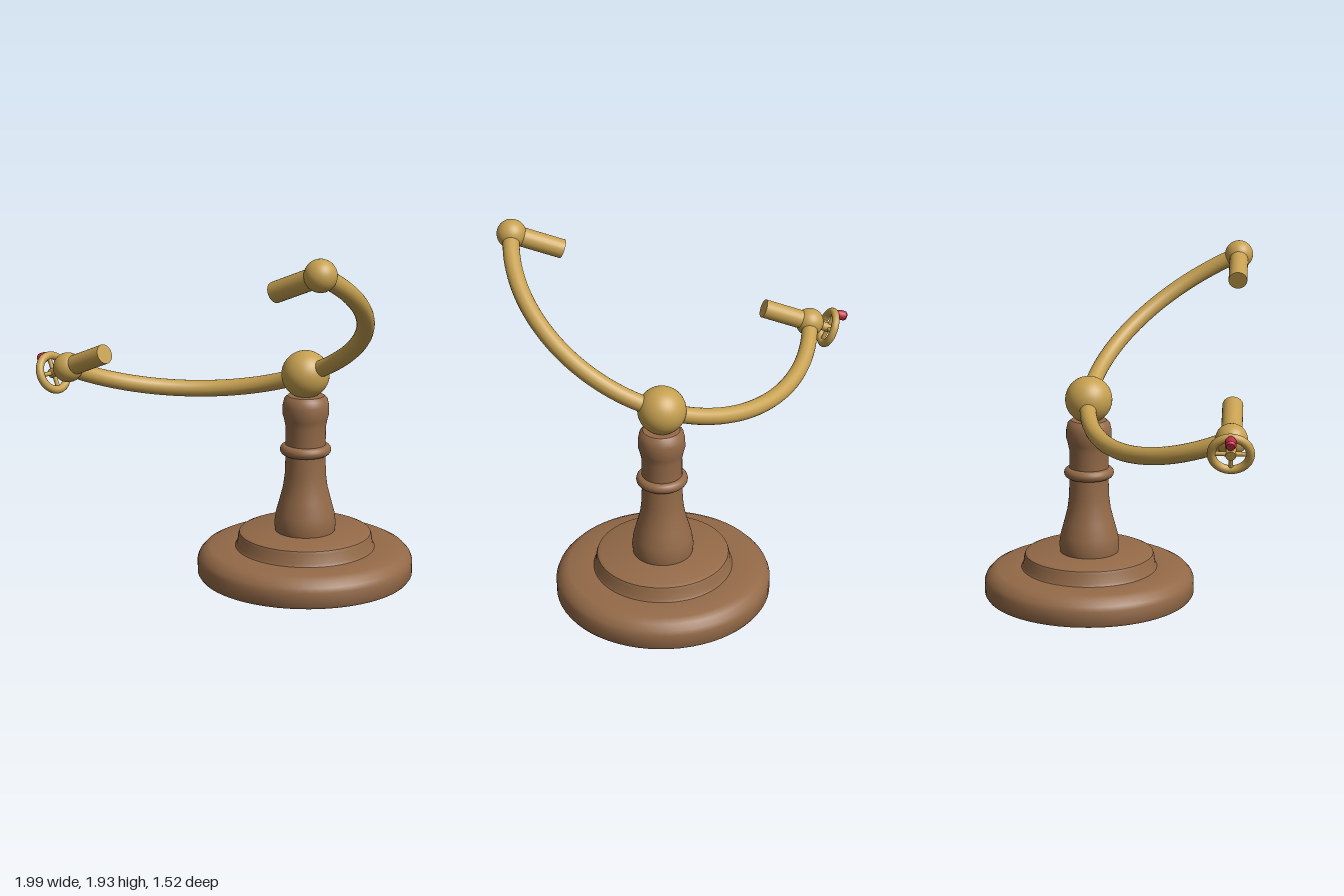
import * as THREE from 'three';
import { toCreasedNormals } from 'three/addons/utils/BufferGeometryUtils.js';

export function createModel() {
  const model = new THREE.Group();
  model.name = 'cradleStand';

  const wood = new THREE.MeshStandardMaterial({ color: 0x946a48 });
  wood.name = 'wood';
  const brass = new THREE.MeshStandardMaterial({ color: 0xc6a050 });
  brass.name = 'brass';
  const red = new THREE.MeshStandardMaterial({ color: 0xc02a42 });
  red.name = 'red';

  function add(parent, name, geometry, material, x = 0, y = 0, z = 0) {
    const mesh = new THREE.Mesh(geometry, material);
    mesh.name = name;
    mesh.position.set(x, y, z);
    parent.add(mesh);
    return mesh;
  }

  function turned(points) {
    const profile = points.map(([r, y]) => new THREE.Vector2(r, y));
    return toCreasedNormals(new THREE.LatheGeometry(profile, 64), 0.6);
  }

  // Cylinder lying along x
  const rodX = (radius, length) =>
    new THREE.CylinderGeometry(radius, radius, length, 24).rotateZ(Math.PI / 2);

  // Turned wooden stand
  const stand = new THREE.Group();
  stand.name = 'stand';
  stand.position.set(0.225, 0, -0.17);
  model.add(stand);
  add(stand, 'base', turned([
    [0, 0], [0.585, 0], [0.595, 0.015], [0.595, 0.09], [0.585, 0.115],
    [0.56, 0.142], [0.525, 0.16], [0.385, 0.16],
  ]), wood);
  add(stand, 'baseStep', turned([
    [0.386, 0.159], [0.376, 0.175], [0.369, 0.225], [0.363, 0.24], [0.34, 0.25], [0, 0.25],
  ]), wood);
  const postPoints = [
    [0.165, 0.25], [0.17, 0.29], [0.162, 0.35], [0.14, 0.43], [0.122, 0.5], [0.113, 0.57],
    [0.11, 0.67], [0.11, 0.84], [0.118, 0.88], [0.127, 0.91], [0.126, 0.96],
    [0.118, 0.995], [0.1, 1.012], [0, 1.015],
  ];
  add(stand, 'post', turned(postPoints), wood);
  add(stand, 'postCollar', new THREE.TorusGeometry(0.11, 0.03, 16, 64).rotateX(Math.PI / 2),
    wood, 0, 0.71, 0);

  // Tilted cradle: local x joins the two arm tips, local y points to the centre ball
  const R = 0.908;
  const u = new THREE.Vector3(0.927, 0.374, 0).normalize();
  const v = new THREE.Vector3(0.1735, -0.4185, -0.892);
  v.addScaledVector(u, -v.dot(u)).normalize();
  const w = new THREE.Vector3().crossVectors(u, v);
  const cradle = new THREE.Group();
  cradle.name = 'cradle';
  cradle.quaternion.setFromRotationMatrix(new THREE.Matrix4().makeBasis(u, v, w));
  cradle.position.set(0.0675, 1.51, 0.64);
  model.add(cradle);

  add(cradle, 'curvedArm', new THREE.TorusGeometry(R, 0.046, 20, 80, Math.PI), brass);
  add(cradle, 'centreBall', new THREE.SphereGeometry(0.131, 40, 28), brass, 0, R, 0);
  for (const side of [-1, 1]) {
    const label = side < 0 ? 'right' : 'left';
    add(cradle, label + 'TipBall', new THREE.SphereGeometry(0.081, 32, 24), brass, side * R, 0, 0);
    add(cradle, label + 'Pin', rodX(0.053, 0.295), brass, side * (R - 0.1475), 0, 0);
  }

  // Hand wheel outside the right tip, turned so its knob is on top
  const wheel = new THREE.Group();
  wheel.name = 'handWheel';
  wheel.position.set(-R - 0.12, 0, 0);
  wheel.rotation.x = 2.04;
  cradle.add(wheel);
  add(wheel, 'wheelRim', new THREE.TorusGeometry(0.096, 0.022, 16, 48).rotateY(Math.PI / 2), brass);
  add(wheel, 'wheelShaft', rodX(0.026, 0.13), brass, 0.045, 0, 0);
  for (let i = 0; i < 2; i++) {
    const spoke = add(wheel, 'wheelSpoke', new THREE.CylinderGeometry(0.012, 0.012, 0.19, 12), brass);
    spoke.rotation.x = i * Math.PI / 2;
  }
  const knob = toCreasedNormals(new THREE.LatheGeometry([
    [0, -0.035], [0.02, -0.035], [0.028, -0.015], [0.028, 0.018], [0.02, 0.028], [0, 0.028],
  ].map(([r, y]) => new THREE.Vector2(r, y)), 16).rotateZ(Math.PI / 2), 0.6);
  add(wheel, 'wheelKnob', knob, red, -0.045, 0.096, 0);

  return model;
}
